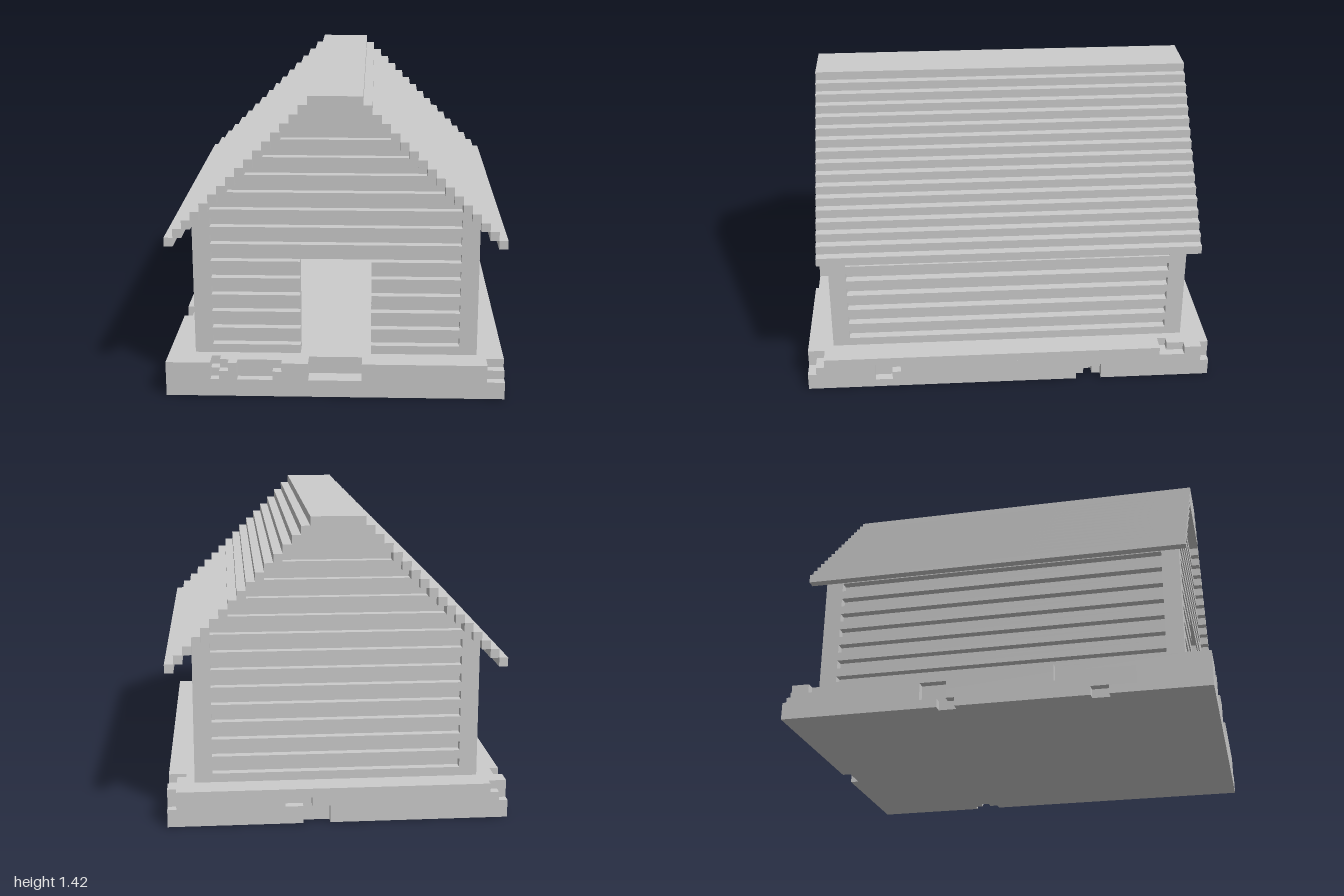
import * as THREE from 'three';

const U = 1 / 24; // edge of one block
const material = new THREE.MeshStandardMaterial({ color: 0xcccccc, flatShading: true });

// Box between two corners, measured in blocks
function block(parent, name, x0, x1, y0, y1, z0, z1) {
  const mesh = new THREE.Mesh(
    new THREE.BoxGeometry((x1 - x0) * U, (y1 - y0) * U, (z1 - z0) * U), material);
  mesh.position.set((x0 + x1) * U / 2, (y0 + y1) * U / 2, (z0 + z1) * U / 2);
  mesh.name = name;
  parent.add(mesh);
}

function group(parent, name) {
  const g = new THREE.Group();
  g.name = name;
  parent.add(g);
  return g;
}

// Chips missing from the plinth: x0, x1, y0, y1, z0, z1
const chips = [
  // front edge
  [-14, -12, 3, 4, 23, 24], [-14, -13, 3, 4, 22, 24], [-14, -13, 2, 3, 23, 24],
  [-11, -7, 2, 4, 23, 24], [-7, -6, 3, 4, 23, 24],
  [-3, 3, 2, 4, 22, 24],
  [17, 19, 3, 4, 22, 24], [17, 19, 2, 3, 23, 24],
  // left edge
  [18, 19, 2, 3, 13, 16], [18, 19, 1, 2, 14, 16],
  [18, 19, 0, 2, -11, -8], [17, 19, 0, 1, -10, -9],
  [18, 19, 3, 4, -21, -18], [17, 19, 3, 4, -19, -18],
  // back edge
  [18, 19, 2, 4, -24, -23], [-19, -17, 3, 4, -24, -23], [-19, -18, 2, 3, -24, -23],
  [3, 6, 2, 3, -24, -23], [1, 4, 0, 2, -24, -23],
  // right edge
  [-19, -18, 3, 4, -21, -19],
  [-19, -18, 1, 3, -8, -5], [-19, -18, 0, 1, -6, -4],
  [-19, -18, 2, 4, 7, 10], [-19, -18, 0, 1, 11, 13],
];

// Uncut runs of blocks along x in one row of the plinth
function rowRuns(y, z) {
  const runs = [];
  for (let x = -19; x < 19; x++) {
    const cut = chips.some(([a, b, c, d, e, f]) =>
      x >= a && x < b && y >= c && y < d && z >= e && z < f);
    if (cut) continue;
    const last = runs[runs.length - 1];
    if (last && last[1] === x) last[1] = x + 1;
    else runs.push([x, x + 1]);
  }
  return runs;
}

// Plinth: equal neighbouring rows are joined into long slabs
function buildPlinth(parent) {
  const plinth = group(parent, 'plinth');
  for (let y = 0; y < 4; y++) {
    let start = -24;
    for (let z = -24; z < 24; z++) {
      const runs = rowRuns(y, z);
      const next = z < 23 ? rowRuns(y, z + 1) : null;
      if (String(runs) === String(next)) continue;
      for (const [a, b] of runs) block(plinth, 'plinthSlab', a, b, y, y + 1, start, z + 1);
      start = z + 1;
    }
  }
}

// Gable wall of alternating proud and recessed logs; side is +1 front, -1 back
function buildGable(parent, side) {
  const wall = group(parent, side > 0 ? 'frontWall' : 'backWall');
  for (let y = 4; y < 30; y++) {
    const half = y < 20 ? 14 : 35 - y;
    const face = y % 2 ? 20 : 21;
    const [z0, z1] = side > 0 ? [19, face] : [-face, -19];
    if (side > 0 && y < 15) { // doorway
      block(wall, 'log', -half, -4, y, y + 1, z0, z1);
      block(wall, 'log', 4, half, y, y + 1, z0, z1);
    } else {
      block(wall, 'log', -half, half, y, y + 1, z0, z1);
    }
  }
}

// Long wall; side is +1 left, -1 right
function buildLongWall(parent, side) {
  const wall = group(parent, side > 0 ? 'leftWall' : 'rightWall');
  for (let y = 4; y < 21; y++) {
    const face = y % 2 || y === 20 ? 15 : 16;
    const [x0, x1] = side > 0 ? [14, face] : [-face, -14];
    block(wall, 'log', x0, x1, y, y + 1, -19, 19);
  }
}

// Stepped roof with a solid ridge
function buildRoof(parent) {
  const roof = group(parent, 'roof');
  for (let y = 17; y < 34; y++) {
    const edge = 36 - y;
    if (y >= 30) {
      block(roof, 'ridge', -edge, edge, y, y + 1, -22, 22);
    } else {
      block(roof, 'roofStep', edge - 1, edge, y, y + 1, -22, 22);
      block(roof, 'roofStep', -edge, 1 - edge, y, y + 1, -22, 22);
    }
  }
}

export function createModel() {
  const model = new THREE.Group();
  model.name = 'logCabin';
  buildPlinth(model);
  for (const side of [1, -1]) {
    buildGable(model, side);
    buildLongWall(model, side);
  }
  // Corner posts
  for (const x of [-16, 14]) {
    for (const z of [-21, 19]) block(model, 'cornerPost', x, x + 2, 4, 20, z, z + 2);
  }
  buildRoof(model);
  return model;
}
